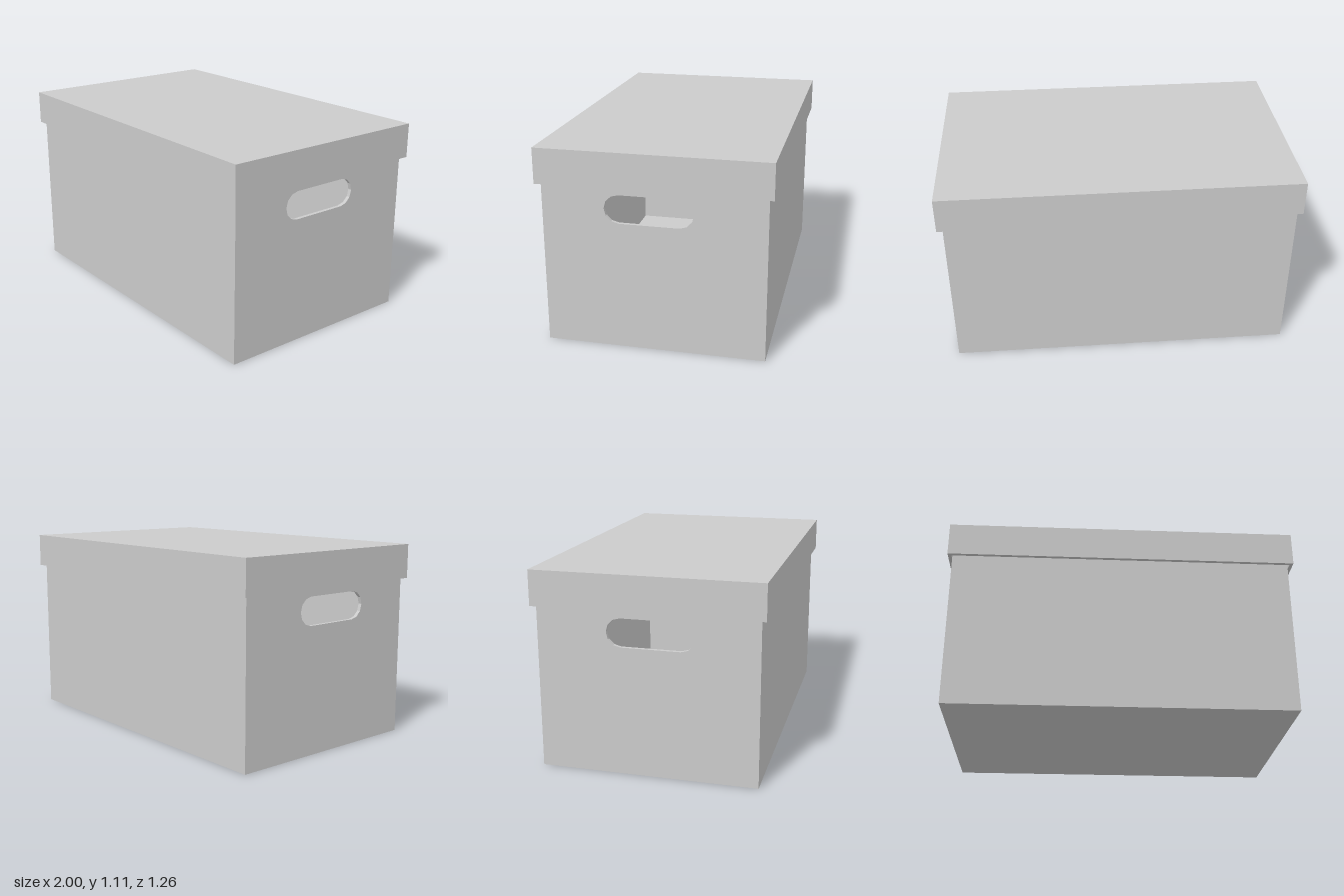
import * as THREE from 'three';

const material = new THREE.MeshStandardMaterial({ color: 0xcccccc, flatShading: true });

// Add a named box given its min and max corners
function addBox(parent, name, [x0, y0, z0], [x1, y1, z1]) {
  const geometry = new THREE.BoxGeometry(x1 - x0, y1 - y0, z1 - z0);
  geometry.translate((x0 + x1) / 2, (y0 + y1) / 2, (z0 + z1) / 2);
  const mesh = new THREE.Mesh(geometry, material);
  mesh.name = name;
  parent.add(mesh);
}

// End wall with a rounded hand hole, lying in the yz plane and thickened along +x
function endWallGeometry(halfDepth, y0, y1, thickness) {
  const wall = new THREE.Shape();
  wall.moveTo(-halfDepth, y0);
  wall.lineTo(halfDepth, y0);
  wall.lineTo(halfDepth, y1);
  wall.lineTo(-halfDepth, y1);
  wall.closePath();

  const r = 0.0785, half = 0.162, cx = -0.0225, cy = 0.7925;
  const hole = new THREE.Path();
  hole.absarc(cx + half, cy, r, -Math.PI / 2, Math.PI / 2);
  hole.absarc(cx - half, cy, r, Math.PI / 2, Math.PI * 1.5);
  hole.closePath();
  wall.holes.push(hole);

  const geometry = new THREE.ExtrudeGeometry(wall, { depth: thickness, bevelEnabled: false, curveSegments: 3 });
  return geometry.rotateY(Math.PI / 2);
}

export function createModel() {
  const model = new THREE.Group();
  model.name = 'storageBox';

  // Open-topped box
  const x0 = -0.975, x1 = 0.97, z = 0.603, t = 0.02, rim = 1.087;
  const body = new THREE.Group();
  body.name = 'body';
  addBox(body, 'floor', [x0, 0, -z], [x1, t, z]);
  addBox(body, 'frontWall', [x0, t, z - t], [x1, rim, z]);
  addBox(body, 'backWall', [x0, t, -z], [x1, rim, -z + t]);
  const endWall = endWallGeometry(z - t, t, rim, t);
  for (const [name, x] of [['rightEndWall', x0], ['leftEndWall', x1 - t]]) {
    const mesh = new THREE.Mesh(endWall, material);
    mesh.name = name;
    mesh.position.x = x;
    body.add(mesh);
  }
  model.add(body);

  // Lid with a skirt hanging just outside the walls
  const lid = new THREE.Group();
  lid.name = 'lid';
  const low = 0.911, top = 1.107, lz = 0.63;
  addBox(lid, 'lidPanel', [-1, rim, -lz], [1, top, lz]);
  addBox(lid, 'lidFront', [-1, low, lz - t], [1, rim, lz]);
  addBox(lid, 'lidBack', [-1, low, -lz], [1, rim, -lz + t]);
  addBox(lid, 'lidRight', [-1, low, -lz + t], [-1 + t, rim, lz - t]);
  addBox(lid, 'lidLeft', [1 - t, low, -lz + t], [1, rim, lz - t]);
  model.add(lid);

  return model;
}
